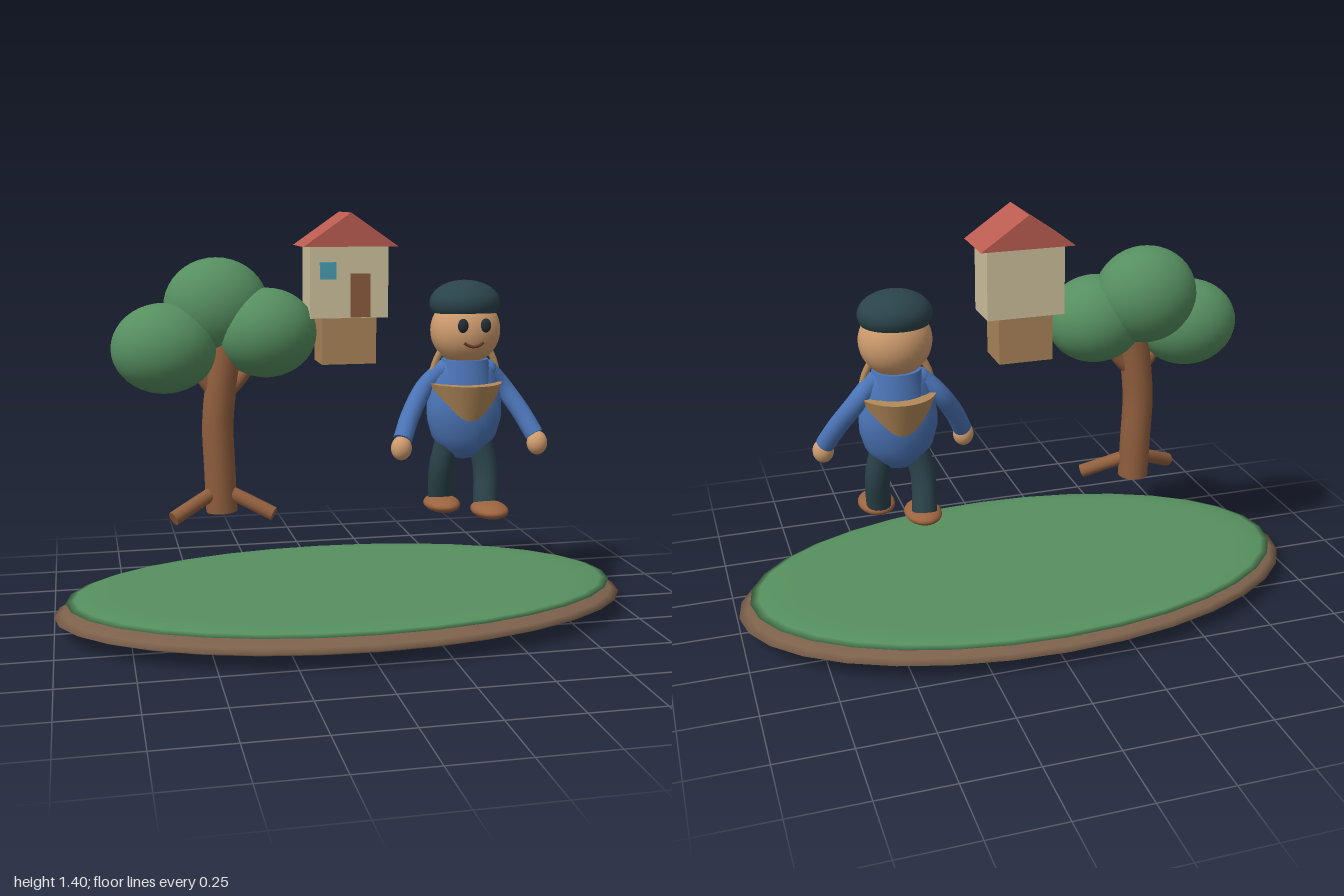
import * as THREE from 'three';

const colors = {
  grass: 0x56905f, soil: 0x7d624c, bark: 0x8f5e3d, leaf: 0x568f60, roof: 0xbb5c51, wall: 0xcdc09d,
  crate: 0xa98358, door: 0x8a5a3c, glass: 0x4a9bb0, blue: 0x4b74b6, dark: 0x2a434a, skin: 0xcf9c6e,
  boot: 0x9c6440, bag: 0xb38a5a, eye: 0x222c33, mouth: 0x6b3a28,
};
const mats = {};
for (const [key, color] of Object.entries(colors)) mats[key] = new THREE.MeshStandardMaterial({ color });

const V = (a) => new THREE.Vector3(...a);

function add(parent, name, geometry, mat, pos = [0, 0, 0], scale = [1, 1, 1]) {
  const mesh = new THREE.Mesh(geometry, mats[mat]);
  mesh.name = name;
  mesh.position.set(...pos);
  mesh.scale.set(...scale);
  parent.add(mesh);
  return mesh;
}
const ball = (parent, name, mat, pos, radii) =>
  add(parent, name, new THREE.SphereGeometry(1, 32, 20), mat, pos, radii);
const box = (parent, name, mat, pos, size) =>
  add(parent, name, new THREE.BoxGeometry(...size), mat, pos);
const lathe = (parent, name, mat, points, zScale, segments = 32) =>
  add(parent, name, new THREE.LatheGeometry(points.map((p) => new THREE.Vector2(...p)), segments), mat,
    [0, 0, 0], [1, 1, zScale]);

// Round limb through points, with flat ends
function limb(parent, name, mat, points, radius) {
  const group = new THREE.Group();
  group.name = name;
  const curve = new THREE.CatmullRomCurve3(points.map(V));
  add(group, name + 'Tube', new THREE.TubeGeometry(curve, 20, radius, 16), mat);
  for (const t of [0, 1]) {
    const cap = add(group, name + 'End', new THREE.CircleGeometry(radius, 16), mat);
    cap.position.copy(curve.getPoint(t));
    const out = curve.getTangent(t).multiplyScalar(t ? 1 : -1);
    cap.quaternion.setFromUnitVectors(new THREE.Vector3(0, 0, 1), out);
  }
  parent.add(group);
}

function makeIsland() {
  const g = new THREE.Group();
  g.name = 'island';
  lathe(g, 'soil', 'soil', [[0, 0], [0.3, 0.003], [0.65, 0.014], [0.88, 0.034], [0.97, 0.05], [1, 0.06],
    [0.97, 0.075], [0.9, 0.09], [0.8, 0.095], [0, 0.095]], 0.54);
  lathe(g, 'grass', 'grass', [[0, 0.092], [0.8, 0.093], [0.92, 0.099], [0.96, 0.106], [0.93, 0.115],
    [0.87, 0.121], [0.8, 0.123], [0, 0.123]], 0.545);
  return g;
}

function makeTree() {
  const g = new THREE.Group();
  g.name = 'tree';
  limb(g, 'trunk', 'bark', [[-0.428, 0.4, 0], [-0.433, 0.55, 0], [-0.437, 0.7, 0], [-0.422, 0.85, 0],
    [-0.4, 1, 0]], 0.053);
  for (const s of [-1, 1]) {
    limb(g, 'root', 'bark', [[-0.43, 0.48, 0], [-0.43 + s * 0.085, 0.44, 0.04], [-0.43 + s * 0.168, 0.4, 0.08]], 0.024);
    limb(g, 'branch', 'bark', [[-0.43, 0.78, 0], [-0.42 + s * 0.06, 0.85, 0], [-0.42 + s * 0.13, 0.96, 0]], 0.022);
  }
  ball(g, 'foliage', 'leaf', [-0.61, 0.96, 0], [0.175, 0.15, 0.145]);
  ball(g, 'foliage', 'leaf', [-0.43, 1.09, -0.05], [0.177, 0.165, 0.143]);
  ball(g, 'foliage', 'leaf', [-0.27, 1.005, 0], [0.17, 0.15, 0.145]);
  return g;
}

function makeHouse() {
  const g = new THREE.Group();
  g.name = 'house';
  box(g, 'foundation', 'crate', [0, 0.98, 0], [0.185, 0.16, 0.14]);
  box(g, 'walls', 'wall', [0, 1.175, 0], [0.265, 0.24, 0.144]);
  box(g, 'door', 'door', [0.037, 1.13, 0.071], [0.067, 0.145, 0.012]);
  box(g, 'window', 'glass', [-0.073, 1.213, 0.074], [0.054, 0.056, 0.014]);
  // Gable roof
  const gable = new THREE.Shape([[-0.16, 1.292], [0.16, 1.292], [0, 1.403]].map((p) => new THREE.Vector2(...p)));
  add(g, 'roof', new THREE.ExtrudeGeometry(gable, { depth: 0.2, bevelEnabled: false }), 'roof', [0, 0, -0.1]);
  return g;
}

function makeFigure() {
  const g = new THREE.Group();
  g.name = 'figure';
  g.position.x = 0.425;

  // Torso and shoulders
  lathe(g, 'torso', 'blue', [[0, 0.545], [0.045, 0.555], [0.085, 0.585], [0.115, 0.63], [0.132, 0.69],
    [0.133, 0.74], [0.123, 0.8], [0.106, 0.85], [0.088, 0.89], [0, 0.9]], 0.66);
  add(g, 'collar', new THREE.CylinderGeometry(0.082, 0.1, 0.1, 32), 'blue', [0, 0.85, 0], [1, 1, 0.9]);

  // Basket bag around the waist with its handle
  add(g, 'bag', new THREE.CylinderGeometry(0.135, 0.078, 0.15, 32), 'bag', [0, 0.743, 0], [0.95, 1, 1]);
  add(g, 'bagHandle', new THREE.TorusGeometry(0.12, 0.011, 10, 32, Math.PI), 'bag', [0, 0.815, 0], [1, 1.35, 1]);

  // Head, cap and face
  ball(g, 'head', 'skin', [0, 1.0, 0], [0.122, 0.12, 0.11]);
  add(g, 'cap', new THREE.SphereGeometry(1, 32, 16, 0, Math.PI * 2, 0, Math.PI * 0.64), 'dark',
    [0, 1.093, -0.01], [0.123, 0.078, 0.112]);
  const capBase = add(g, 'capBase', new THREE.CircleGeometry(0.905, 32), 'dark', [0, 1.0595, -0.01], [0.123, 0.112, 1]);
  capBase.rotation.x = Math.PI / 2;
  for (const s of [-1, 1]) ball(g, 'eye', 'eye', [s * 0.04, 1.024, 0.106], [0.018, 0.024, 0.014]);
  const smile = new THREE.QuadraticBezierCurve3(V([-0.034, 0.966, 0.102]), V([0, 0.938, 0.105]), V([0.034, 0.966, 0.102]));
  add(g, 'mouth', new THREE.TubeGeometry(smile, 16, 0.005, 8), 'mouth');

  for (const s of [-1, 1]) {
    // Arms
    limb(g, 'arm', 'blue', [[s * 0.08, 0.865, 0], [s * 0.14, 0.8, -0.012], [s * 0.2, 0.71, 0.025],
      [s * 0.237, 0.635, 0.066]], 0.033);
    ball(g, 'shoulder', 'blue', [s * 0.08, 0.86, 0], [0.036, 0.036, 0.036]);
    ball(g, 'hand', 'skin', [s * 0.244, 0.607, 0.076], [0.036, 0.042, 0.033]);

    // Legs in mid stride, the left one forward
    const step = s > 0 ? 0.05 : -0.055;
    limb(g, 'leg', 'dark', [[s * 0.055, 0.63, 0], [s * 0.075, 0.51, step * 0.35], [s * 0.068, 0.395, step]], 0.043);
    ball(g, 'boot', 'boot', [s * 0.068, 0.381, s > 0 ? 0.095 : -0.03], [0.063, 0.029, 0.09]);
  }
  return g;
}

export function createModel() {
  const model = new THREE.Group();
  model.name = 'islandScene';
  model.add(makeIsland(), makeTree(), makeHouse(), makeFigure());
  return model;
}
